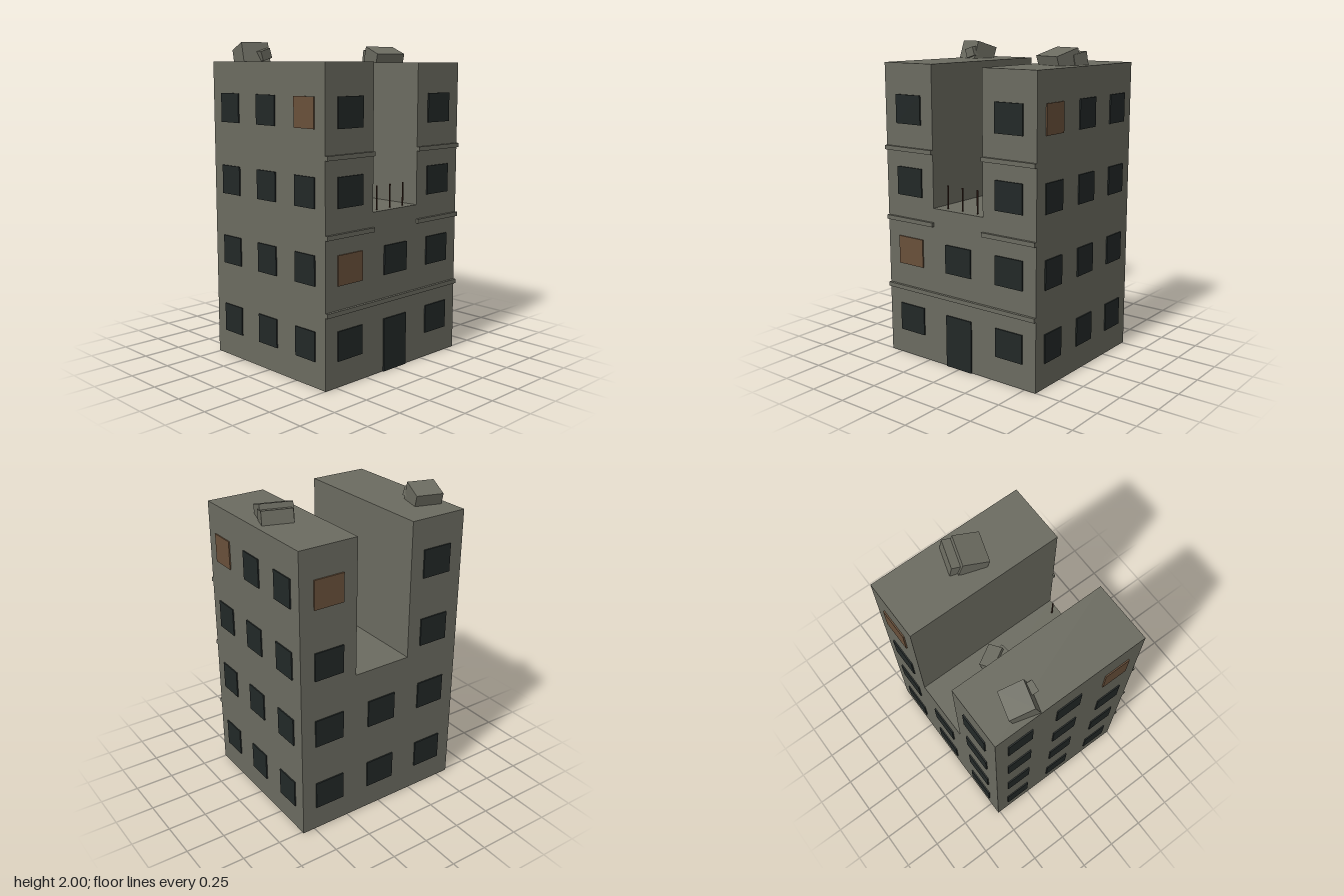
import * as THREE from 'three';

const mat = (color) => new THREE.MeshStandardMaterial({ color, flatShading: true });

export function createModel() {
  const model = new THREE.Group();
  const concrete = mat(0x6b6b60), glass = mat(0x222827), boards = mat(0x69503a), rust = mat(0x3a241a);

  const add = (name, geometry, material, x, y, z) => {
    const mesh = new THREE.Mesh(geometry, material);
    mesh.name = name;
    mesh.position.set(x, y, z);
    model.add(mesh);
    return mesh;
  };
  const box = (name, material, w, h, d, x, y, z) =>
    add(name, new THREE.BoxGeometry(w, h, d), material, x, y, z);

  const X0 = -0.583, X1 = 0.581, BACK = -0.514, FRONT = 0.504;
  const GAP0 = -0.196, GAP1 = 0.193, DECK = 1.005;

  // Building shell: U-shaped front outline with a collapsed middle bay
  const outline = new THREE.Shape([
    [X0, 0], [X1, 0], [X1, 1.876], [GAP1, 1.876],
    [GAP1, DECK], [GAP0, DECK], [GAP0, 1.882], [X0, 1.882],
  ].map(([x, y]) => new THREE.Vector2(x, y)));
  add('building', new THREE.ExtrudeGeometry(outline, { depth: FRONT - BACK, bevelEnabled: false }),
    concrete, 0, 0, BACK);

  // Windows, some of them boarded up
  const rows = [0.25, 0.70, 1.15, 1.60];
  const bays = [-0.388, 0, 0.387];
  const sideBays = [-0.345, -0.005, 0.335];
  const T = 0.02;
  const pane = (boarded, w, d, x, y, z) =>
    box(boarded ? 'boardedWindow' : 'window', boarded ? boards : glass, w, 0.18, d, x, y, z);

  rows.forEach((y, row) => {
    bays.forEach((x, bay) => {
      if (bay === 1 && row > 1) return;
      if (!(bay === 1 && row === 0)) pane(bay === 0 && row === 1, 0.2, T, x, y, FRONT - 0.001);
      pane(bay === 2 && row === 3, 0.2, T, x, y, BACK + 0.001);
    });
    sideBays.forEach((z, bay) => {
      const boarded = bay === 2 && row === 3;
      pane(boarded, T, 0.17, X0 + 0.002, y, z);
      pane(boarded, T, 0.17, X1 - 0.002, y, z);
    });
  });

  // Entrance
  box('door', glass, 0.2, 0.335, T, 0, 0.1675, FRONT - 0.001);

  // Floor ledges on the facade, broken across the gap
  const ledge = (x0, x1, y) =>
    box('ledge', concrete, x1 - x0, 0.027, 0.03, (x0 + x1) / 2, y, FRONT + 0.003);
  ledge(X0, X1, 0.452);
  for (const y of [0.902, 1.352]) {
    ledge(X0, GAP0, y);
    ledge(GAP1, X1, y);
  }

  // Exposed reinforcing rods
  for (const x of [-0.116, 0, 0.116]) {
    add('rod', new THREE.CylinderGeometry(0.005, 0.005, 0.16, 6), rust, x, 1.07, 0.458);
  }

  // Rubble blocks, placed by the centre of their upper face
  const rubble = (w, h, d, x, y, z, yaw, pitch, roll) => {
    const geometry = new THREE.BoxGeometry(w, h, d).translate(0, -h / 2, 0);
    const mesh = add('rubble', geometry, concrete, x, y, z);
    mesh.rotation.set(pitch, yaw, roll, 'YXZ');
  };
  rubble(0.173, 0.13, 0.155, -0.467, 1.975, -0.29, -0.274, -0.3, 0);
  rubble(0.07, 0.06, 0.07, -0.455, 1.952, -0.19, -0.05, 0, 0.3);
  rubble(0.2, 0.1, 0.165, 0.393, 1.955, 0.045, -0.31, 0.3, 0);
  rubble(0.19, 0.09, 0.1, 0.43, 1.948, -0.04, -0.31, 0.2, 0);
  rubble(0.1, 0.11, 0.152, 0.088, 1.082, -0.063, 0.52, 0, -0.3);
  rubble(0.09, 0.075, 0.1, 0.06, 1.072, 0.0, 0.15, 0, 0.05);

  return model;
}
